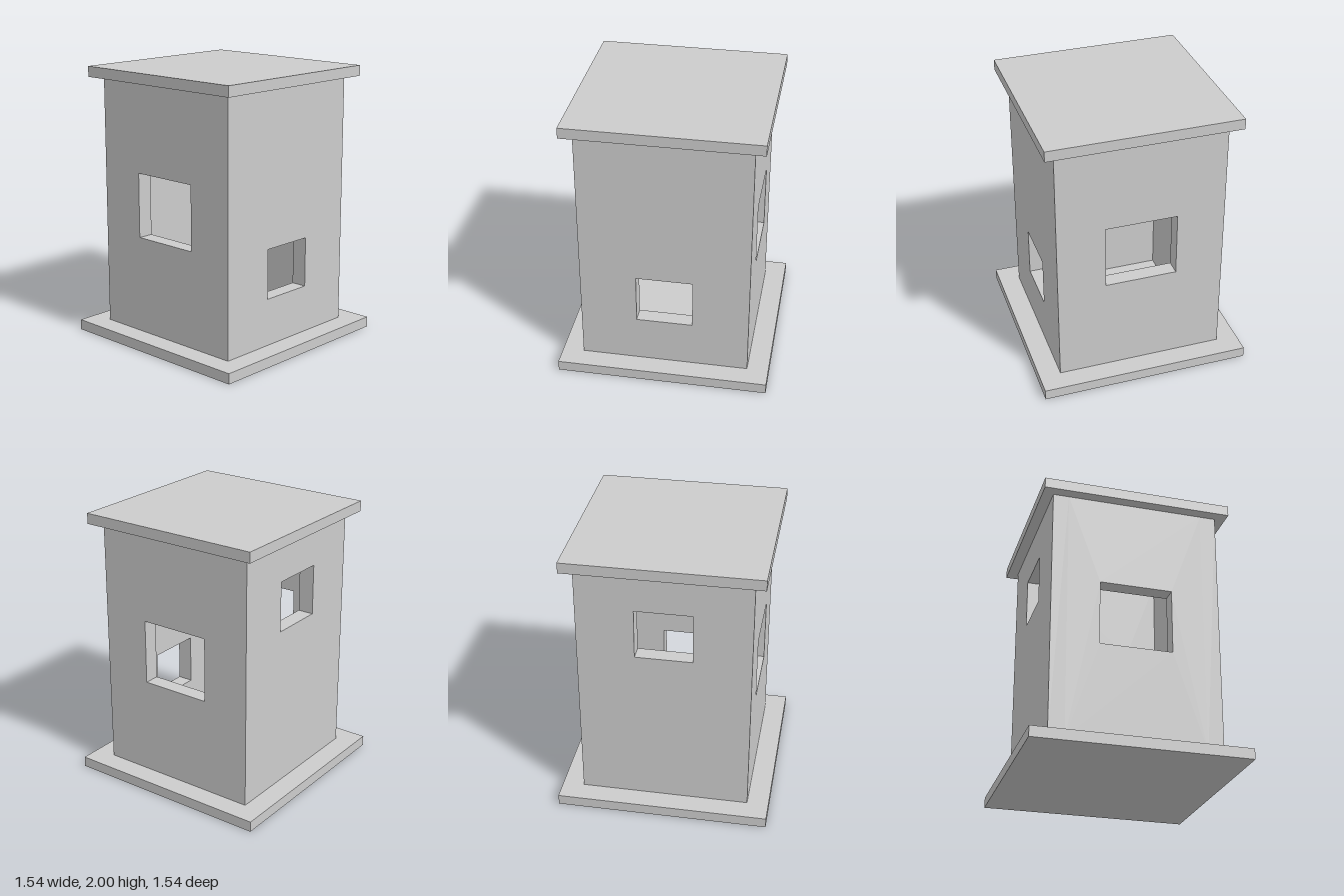
import * as THREE from 'three';

const HALF = 0.613;   // half width of the tower
const WALL = 0.115;   // wall thickness
const SLAB = 0.077;   // thickness of base and roof
const TOP = 2 - SLAB; // underside of the roof

export function createModel() {
  const group = new THREE.Group();
  const stone = new THREE.MeshStandardMaterial({ color: 0xcccccc });
  stone.name = 'lightGrey';

  const rect = (P, x0, x1, y0, y1) => {
    const p = new P();
    p.moveTo(x0, y0);
    p.lineTo(x1, y0);
    p.lineTo(x1, y1);
    p.lineTo(x0, y1);
    p.closePath();
    return p;
  };

  // Square slab standing on height y
  const addSlab = (name, half, y) => {
    const mesh = new THREE.Mesh(new THREE.BoxGeometry(half * 2, SLAB, half * 2), stone);
    mesh.position.y = y + SLAB / 2;
    mesh.name = name;
    group.add(mesh);
  };

  // Wall with one window, turned about y so that its outer face points outwards
  const addWall = (name, angle, half, winHalf, winY0, winY1) => {
    const shape = rect(THREE.Shape, -half, half, SLAB, TOP);
    shape.holes.push(rect(THREE.Path, -winHalf, winHalf, winY0, winY1));
    const geo = new THREE.ExtrudeGeometry(shape, { depth: WALL, bevelEnabled: false });
    geo.translate(0, 0, HALF - WALL);
    const mesh = new THREE.Mesh(geo, stone);
    mesh.rotation.y = angle;
    mesh.name = name;
    group.add(mesh);
  };

  addSlab('base', 0.769, 0);
  addSlab('roof', 0.692, TOP);

  // Front and back span the full width; the side walls fit between them
  addWall('frontWall', 0, HALF, 0.204, 0.424, 0.79);
  addWall('backWall', Math.PI, HALF, 0.204, 1.265, 1.633);
  addWall('leftWall', Math.PI / 2, HALF - WALL, 0.262, 0.79, 1.265);
  addWall('rightWall', -Math.PI / 2, HALF - WALL, 0.262, 0.79, 1.265);

  return group;
}
